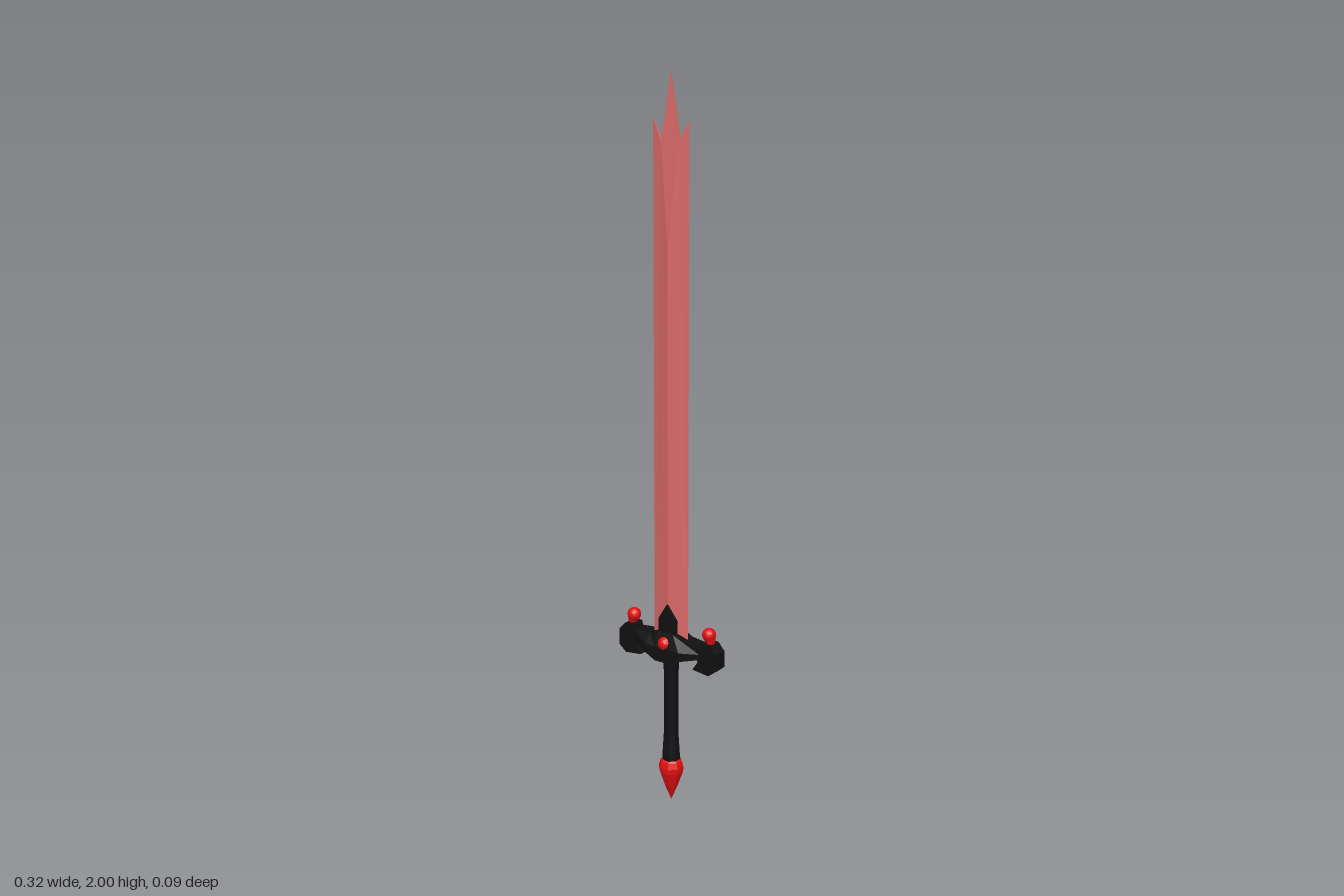
import * as THREE from 'three';

const material = (color, extra = {}) => new THREE.MeshStandardMaterial({ color, flatShading: true, ...extra });
const black = material(0x111111);
const red = material(0xe01010);
const bladeRed = material(0xdc6a6a, { side: THREE.DoubleSide });

function add(parent, name, geometry, mat, x = 0, y = 0, z = 0) {
  const mesh = new THREE.Mesh(geometry, mat);
  mesh.name = name;
  mesh.position.set(x, y, z);
  parent.add(mesh);
  return mesh;
}

// Flat plate from an outline, centred on z = 0
function plate(points, depth) {
  const shape = new THREE.Shape(points.map(([x, y]) => new THREE.Vector2(x, y)));
  const geometry = new THREE.ExtrudeGeometry(shape, { depth, bevelEnabled: false });
  return geometry.translate(0, 0, -depth / 2);
}

function fromTriangles(tris) {
  const geometry = new THREE.BufferGeometry();
  geometry.setAttribute('position', new THREE.Float32BufferAttribute(tris.flat(2), 3));
  geometry.computeVertexNormals();
  return geometry;
}

// Diamond-section blade with a three-pointed tip, mirrored from one quarter
function bladeGeometry() {
  const tris = [];
  const R0 = [0, 0.45, 0.015], R1 = [0, 1.55, 0.015], T = [0, 2, 0];
  const E0 = [0.057, 0.45, 0], E1 = [0.057, 1.88, 0];
  const N = [0.028, 1.82, 0.006], M = [0.028, 1.82, -0.006];
  const quarter = [[R0, E0, R1], [E0, E1, N], [E0, N, R1], [R1, N, T]];
  const notch = [[E1, M, N], [N, M, T]];
  for (const sx of [1, -1]) {
    for (const sz of [1, -1]) {
      for (const tri of sz > 0 ? [...quarter, ...notch] : quarter) {
        const t = tri.map(([x, y, z]) => [x * sx, y, z * sz]);
        tris.push(sx * sz > 0 ? t : t.reverse());
      }
    }
  }
  return fromTriangles(tris);
}

// Crossguard bar lofted along x: each section is x, bottom, shoulder, top, lower and upper half depth
function guardGeometry() {
  const half = [
    [0.025, 0.425, 0.465, 0.505, 0.042, 0.026],
    [0.055, 0.44, 0.465, 0.492, 0.042, 0.024],
    [0.11, 0.453, 0.468, 0.488, 0.022, 0.02],
  ];
  const sections = [...half.map(([x, ...r]) => [-x, ...r]).reverse(), ...half];
  const rings = sections.map(([x, b, s, t, d, u]) => [
    [x, b, d], [x, b, -d], [x, s, -d], [x, t, -u], [x, t, u], [x, s, d],
  ]);
  const tris = [];
  for (let i = 0; i < rings.length - 1; i++) {
    for (let j = 0; j < 6; j++) {
      const k = (j + 1) % 6, a = rings[i], b = rings[i + 1];
      tris.push([a[j], a[k], b[k]], [a[j], b[k], b[j]]);
    }
  }
  const first = rings[0], last = rings[rings.length - 1];
  for (let j = 1; j < 5; j++) {
    tris.push([first[0], first[j + 1], first[j]], [last[0], last[j], last[j + 1]]);
  }
  return fromTriangles(tris);
}

export function createModel() {
  const model = new THREE.Group();
  model.name = 'sword';

  add(model, 'blade', bladeGeometry(), bladeRed);

  // Crossguard with a pointed centre block
  const guard = new THREE.Group();
  guard.name = 'crossguard';
  model.add(guard);
  add(guard, 'guardBar', guardGeometry(), black);
  add(guard, 'guardSpike', plate([
    [-0.025, 0.43], [0.025, 0.43], [0.028, 0.54], [0, 0.585], [-0.028, 0.54],
  ], 0.042), black);

  // Hooked ends carrying red drops
  for (const side of [1, -1]) {
    const outline = [
      [0.095, 0.455], [0.106, 0.447], [0.088, 0.42], [0.14, 0.414], [0.162, 0.432],
      [0.162, 0.478], [0.142, 0.5], [0.117, 0.5], [0.113, 0.486], [0.095, 0.487],
    ].map(([x, y]) => [x * side, y]);
    add(guard, side > 0 ? 'leftHook' : 'rightHook', plate(outline, 0.044), black);

    const drop = new THREE.Group();
    drop.name = side > 0 ? 'leftDrop' : 'rightDrop';
    drop.position.set(0.127 * side, 0.523, 0);
    drop.rotation.z = 0.25 * side;
    guard.add(drop);
    add(drop, 'dropBall', new THREE.IcosahedronGeometry(0.019, 2), red);
    const stalk = add(drop, 'dropStalk', new THREE.ConeGeometry(0.017, 0.05, 8), red, 0, -0.032);
    stalk.rotation.z = Math.PI;
  }

  // Gems on the front and back of the guard
  for (const side of [1, -1]) {
    add(guard, side > 0 ? 'frontGem' : 'backGem',
      new THREE.IcosahedronGeometry(0.021, 2), red, 0, 0.475, 0.026 * side);
  }

  // Eight-sided grip with a flared foot
  const grip = [[0, 0.1], [0.024, 0.1], [0.025, 0.135], [0.021, 0.2], [0.02, 0.37], [0.024, 0.44], [0, 0.44]];
  const pommel = [[0, 0], [0.018, 0.042], [0.034, 0.088], [0.035, 0.103], [0.03, 0.12], [0.018, 0.13], [0, 0.132]];
  const lathe = (points) => new THREE.LatheGeometry(points.map(([r, y]) => new THREE.Vector2(r, y)), 8, Math.PI / 8);
  add(model, 'grip', lathe(grip), black);
  add(model, 'pommelGem', lathe(pommel), red);

  return model;
}
